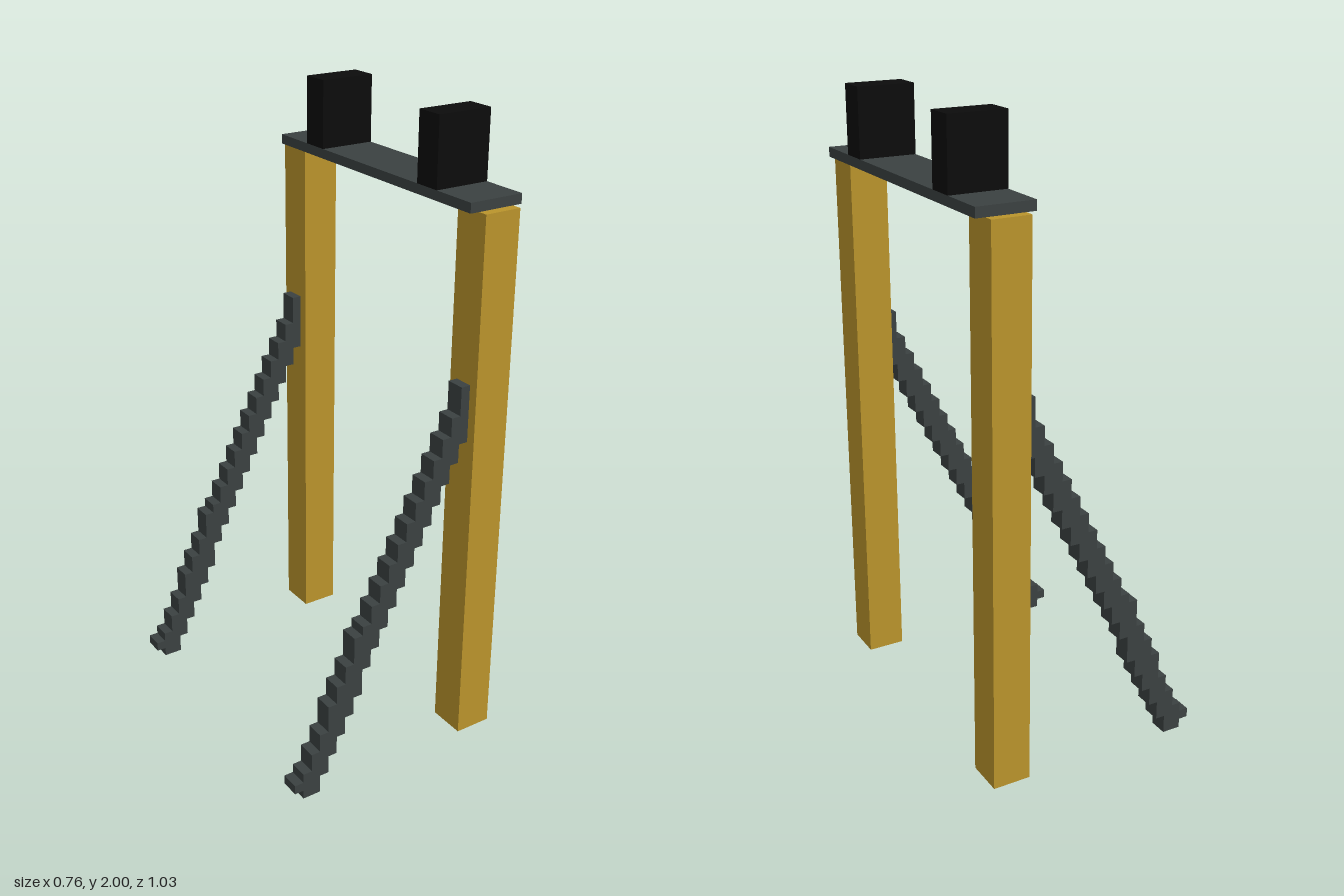
import * as THREE from 'three';

const U = 2 / 66; // grid unit

export function createModel() {
  const model = new THREE.Group();
  const material = (name, color) => {
    const m = new THREE.MeshStandardMaterial({ color });
    m.name = name;
    return m;
  };
  const gold = material('gold', 0xba942c);
  const slate = material('slate grey', 0x3b4141);
  const black = material('black', 0x0c0c0c);

  // Box given by its min and max corners in grid units
  const box = (name, mat, [x0, y0, z0], [x1, y1, z1]) => {
    const g = new THREE.BoxGeometry((x1 - x0) * U, (y1 - y0) * U, (z1 - z0) * U);
    const mesh = new THREE.Mesh(g, mat);
    mesh.position.set((x0 + x1) / 2 * U, (y0 + y1) / 2 * U, (z0 + z1) / 2 * U);
    mesh.name = name;
    model.add(mesh);
  };

  // Stepped outline of the brace: bottom and top height of each column
  const bottoms = [1, 0, 0, 2, 4, 6, 8, 10, 13, 15, 17, 19, 21, 23, 25, 27, 29, 31, 33, 35];
  const tops = [2, 3, 5, 7, 10, 12, 14, 17, 18, 20, 22, 24, 26, 28, 30, 32, 34, 36, 38, 41];
  const outline = [];
  const column = (i, y) => outline.push(
    new THREE.Vector2((i - 12.5) * U, y * U), new THREE.Vector2((i - 11.5) * U, y * U));
  bottoms.forEach((y, i) => column(i, y));
  for (let i = tops.length - 1; i >= 0; i--) {
    outline.push(new THREE.Vector2((i - 11.5) * U, tops[i] * U), new THREE.Vector2((i - 12.5) * U, tops[i] * U));
  }
  const braceGeometry = new THREE.ExtrudeGeometry(new THREE.Shape(outline), { depth: 2 * U, bevelEnabled: false });

  // Top plate
  box('topPlate', slate, [6.5, 58, -16], [12.5, 59, 16]);

  // Posts, upper blocks and braces on both sides
  for (const [side, s] of [['front', 1], ['back', -1]]) {
    const span = (a, b) => (s > 0 ? [a, b] : [-b, -a]);
    const [p0, p1] = span(13, 17);
    box(side + 'Post', gold, [7.5, 1, p0], [11.5, 58, p1]);
    const [b0, b1] = span(8, 11);
    box(side + 'Block', black, [6.5, 59, b0], [12.5, 66, b1]);
    const brace = new THREE.Mesh(braceGeometry, slate);
    brace.position.z = span(14, 16)[0] * U;
    brace.name = side + 'Brace';
    model.add(brace);
  }
  return model;
}
